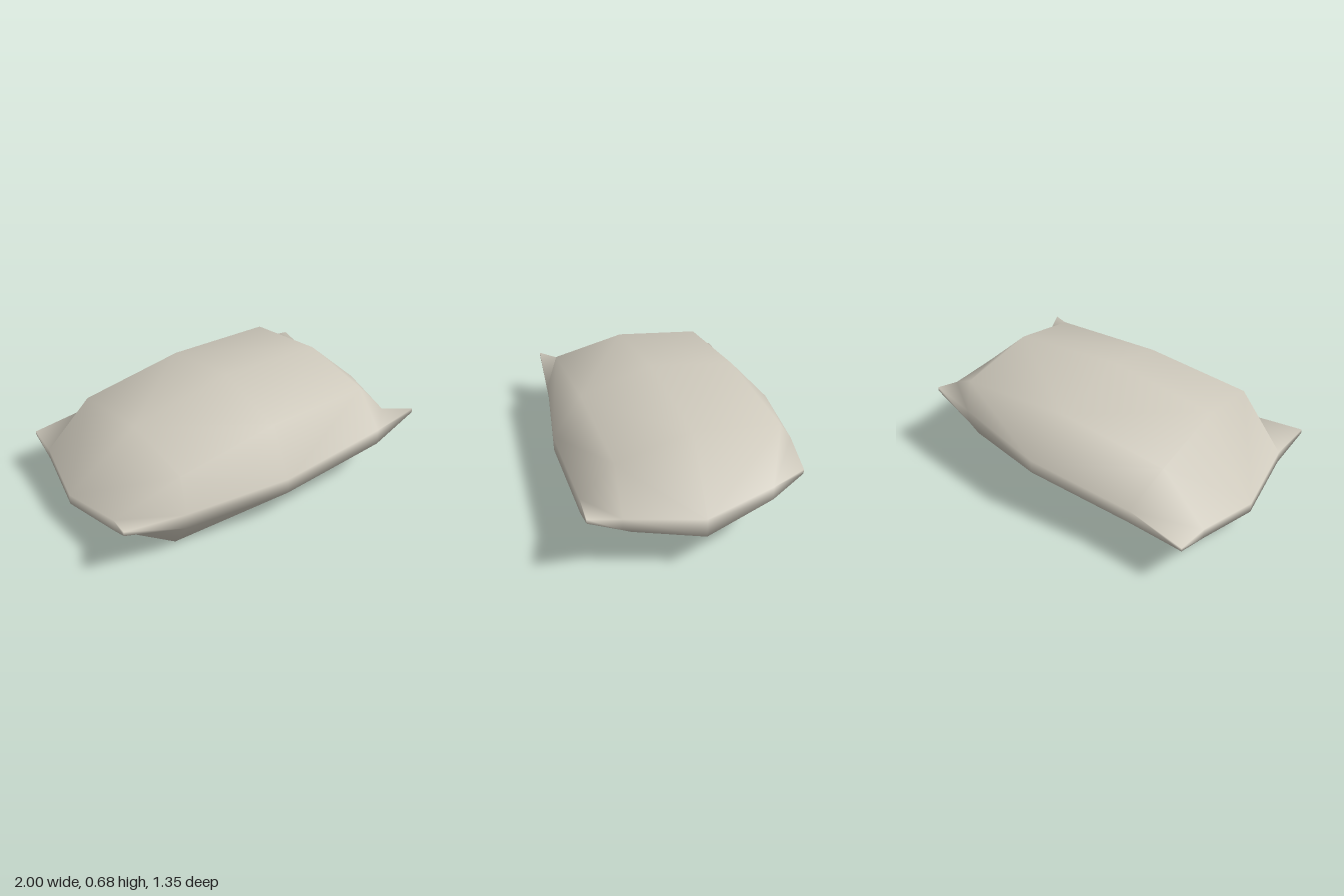
import * as THREE from 'three';

// Seam loop: [x, upper y, lower y, z], from the back right corner along the
// right side, the front, the left side and the back
const SEAM = [
  [-0.88, 0.275, 0.255, -0.68], [-0.90, 0.26, 0.20, -0.48], [-0.985, 0.20, 0.14, -0.10], [-0.95, 0.27, 0.20, 0.31],
  [-1.00, 0.34, 0.315, 0.495], [-0.64, 0.29, 0.20, 0.525], [-0.03, 0.30, 0.21, 0.63], [0.65, 0.355, 0.26, 0.645],
  [0.90, 0.42, 0.395, 0.672], [0.86, 0.34, 0.27, 0.48], [1.00, 0.34, 0.23, 0.08], [0.935, 0.40, 0.32, -0.31],
  [0.92, 0.46, 0.435, -0.48], [0.62, 0.45, 0.37, -0.555], [0.08, 0.39, 0.31, -0.66], [-0.55, 0.33, 0.25, -0.645],
];

// Inner 3 x 3 points of each panel: heights by row, back to front
const UPPER = { x: [-0.63, 0, 0.67], z: [-0.46, 0.04, 0.46], y: [[0.52, 0.61, 0.585], [0.58, 0.68, 0.64], [0.49, 0.56, 0.545]] };
const LOWER = { x: [-0.62, 0, 0.67], z: [-0.44, -0.05, 0.38], y: [[0.12, 0.14, 0.20], [0.02, 0.02, 0.11], [0, 0, 0.08]] };

// Grid cells (column, row) in the order of the seam loop
const LOOP = [];
for (let k = 0; k < 4; k++) LOOP.push([0, k]);
for (let k = 0; k < 4; k++) LOOP.push([k, 4]);
for (let k = 4; k > 0; k--) LOOP.push([4, k]);
for (let k = 4; k > 0; k--) LOOP.push([k, 0]);

function cushionGeometry() {
  const pos = [], index = [];
  const id = (side, i, j) => side * 25 + j * 5 + i;

  [UPPER, LOWER].forEach((panel, side) => {
    for (let j = 0; j < 5; j++) {
      for (let i = 0; i < 5; i++) {
        const s = LOOP.findIndex(([a, b]) => a === i && b === j);
        if (s >= 0) pos.push(SEAM[s][0], SEAM[s][1 + side], SEAM[s][3]);
        else pos.push(panel.x[i - 1], panel.y[j - 1][i - 1], panel.z[j - 1]);
      }
    }
    // Panel faces, with the corner cells folded into flat ears
    const tri = (a, b, c) => index.push(...(side ? [a, c, b] : [a, b, c]));
    for (let j = 0; j < 4; j++) {
      for (let i = 0; i < 4; i++) {
        const a = id(side, i, j), b = id(side, i, j + 1);
        const c = id(side, i + 1, j + 1), d = id(side, i + 1, j);
        if ((i < 2) === (j < 2)) { tri(a, b, d); tri(b, c, d); }
        else { tri(a, b, c); tri(a, c, d); }
      }
    }
  });

  // Narrow band joining the two panels
  LOOP.forEach((p, k) => {
    const q = LOOP[(k + 1) % LOOP.length];
    const tp = id(0, ...p), bp = id(1, ...p), tq = id(0, ...q), bq = id(1, ...q);
    index.push(tp, bp, bq, tp, bq, tq);
  });

  const geo = new THREE.BufferGeometry();
  geo.setAttribute('position', new THREE.Float32BufferAttribute(pos, 3));
  geo.setIndex(index);
  geo.computeVertexNormals();
  return geo;
}

export function createModel() {
  const group = new THREE.Group();
  group.name = 'pillow';
  const fabric = new THREE.MeshStandardMaterial({ color: 0xcdc8bb });
  fabric.name = 'cream fabric';
  const cushion = new THREE.Mesh(cushionGeometry(), fabric);
  cushion.name = 'cushion';
  group.add(cushion);
  return group;
}
